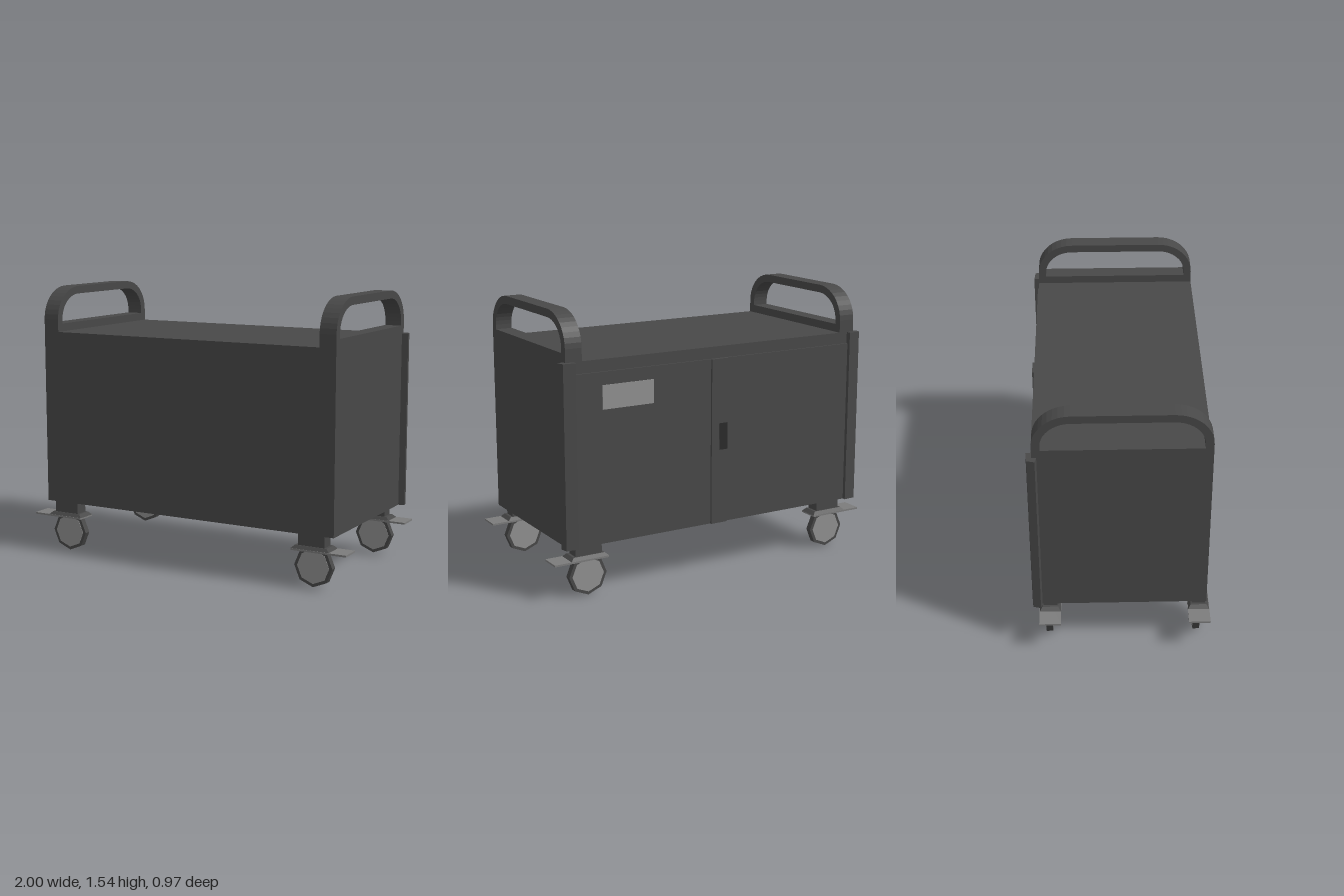
import * as THREE from 'three';

const mat = (color) => new THREE.MeshStandardMaterial({ color, flatShading: true });

export function createModel() {
  const root = new THREE.Group();
  root.name = 'cabinetTrolley';
  const dark = mat(0x484848), black = mat(0x2a2a2a), mid = mat(0x7c7c7c), light = mat(0x909090);

  const add = (name, geometry, material, parent = root) => {
    const mesh = new THREE.Mesh(geometry, material);
    mesh.name = name;
    parent.add(mesh);
    return mesh;
  };
  // Box given by its lower and upper limits on each axis
  const box = (name, [x0, x1], [y0, y1], [z0, z1], material, parent) => {
    const g = new THREE.BoxGeometry(x1 - x0, y1 - y0, z1 - z0);
    g.translate((x0 + x1) / 2, (y0 + y1) / 2, (z0 + z1) / 2);
    return add(name, g, material, parent);
  };

  const front = 0.463, back = -0.453, bottom = 0.29;

  // Cabinet between the two end panels
  box('cabinet', [-0.825, 0.825], [bottom, 1.285], [back, front], dark);

  // Arch outline in the z-y plane: straight sides, rounded upper corners
  const arch = (path, z0, z1, y0, y1, ySpring, r) => {
    path.moveTo(z0, y0);
    path.lineTo(z1, y0);
    path.lineTo(z1, ySpring);
    path.absellipse(z1 - r, ySpring, r, y1 - ySpring, 0, Math.PI / 2, false, 0);
    path.lineTo(z0 + r, y1);
    path.absellipse(z0 + r, ySpring, r, y1 - ySpring, Math.PI / 2, Math.PI, false, 0);
    path.closePath();
    return path;
  };

  // End panels, each with its push handle formed by an opening
  const endShape = arch(new THREE.Shape(), back, front, bottom, 1.537, 1.355, 0.2);
  endShape.holes.push(arch(new THREE.Path(), back + 0.043, front - 0.043, 1.33, 1.493, 1.355, 0.157));
  for (const s of [-1, 1]) {
    const g = new THREE.ExtrudeGeometry(endShape, { depth: 0.095, bevelEnabled: false, curveSegments: 5 });
    g.rotateY(-Math.PI / 2);
    g.translate(s > 0 ? 0.92 : -0.825, 0, 0);
    add(s > 0 ? 'leftEndPanel' : 'rightEndPanel', g, dark);
  }

  // Pair of doors, closing strip, latch and blank label plate on the back
  box('leftDoor', [0, 0.9], [bottom, 1.22], [-0.464, back], dark);
  box('rightDoor', [-0.9, 0], [bottom, 1.22], [-0.464, back], dark);
  box('closingStrip', [-0.05, 0.05], [bottom, 1.22], [-0.475, -0.46], dark);
  box('latch', [-0.05, 0], [0.71, 0.86], [-0.477, -0.47], black);
  box('labelPlate', [0.41, 0.715], [1.02, 1.15], [-0.467, -0.46], light);

  // Corner guards wrapping the back edges (section drawn as x, -z)
  const guard = [[0.875, 0.455], [0.92, 0.455], [0.92, 0.428], [0.955, 0.436], [0.945, 0.478], [0.875, 0.484]];
  for (const s of [-1, 1]) {
    const shape = new THREE.Shape(guard.map(([x, y]) => new THREE.Vector2(s * x, y)));
    const g = new THREE.ExtrudeGeometry(shape, { depth: 0.995, bevelEnabled: false });
    g.rotateX(-Math.PI / 2);
    g.translate(0, bottom, 0);
    add('cornerGuard', g, dark);
  }

  // Casters: stem, tapered mounting plate, brake pedal and eight-sided wheel
  for (const s of [-1, 1]) {
    for (const z of [0.425, -0.389]) {
      const caster = new THREE.Group();
      caster.name = 'caster';
      caster.position.set(s * 0.79, 0, z);
      root.add(caster);

      box('stem', [-0.078, 0.078], [0.215, bottom], [-0.038, 0.038], dark, caster);

      const plate = new THREE.BoxGeometry(0.225, 0.018, 0.116);
      const p = plate.attributes.position;
      for (let i = 0; i < p.count; i++) {
        if (p.getY(i) > 0) p.setXYZ(i, p.getX(i) * 0.82, p.getY(i), p.getZ(i) * 0.75);
      }
      plate.translate(0, 0.22, 0);
      add('mountingPlate', plate, dark, caster);

      box('brakePedal', s > 0 ? [-0.11, 0.21] : [-0.21, 0.11], [0.202, 0.212], [-0.059, 0.059], mid, caster);

      const wheel = new THREE.Group();
      wheel.name = 'wheel';
      wheel.position.set(0, 0.112, -0.008);
      wheel.rotation.x = Math.PI / 2;
      caster.add(wheel);
      add('tyre', new THREE.CylinderGeometry(0.112, 0.112, 0.036, 8), dark, wheel);
      add('hub', new THREE.CylinderGeometry(0.094, 0.094, 0.041, 8), light, wheel);
    }
  }
  return root;
}
